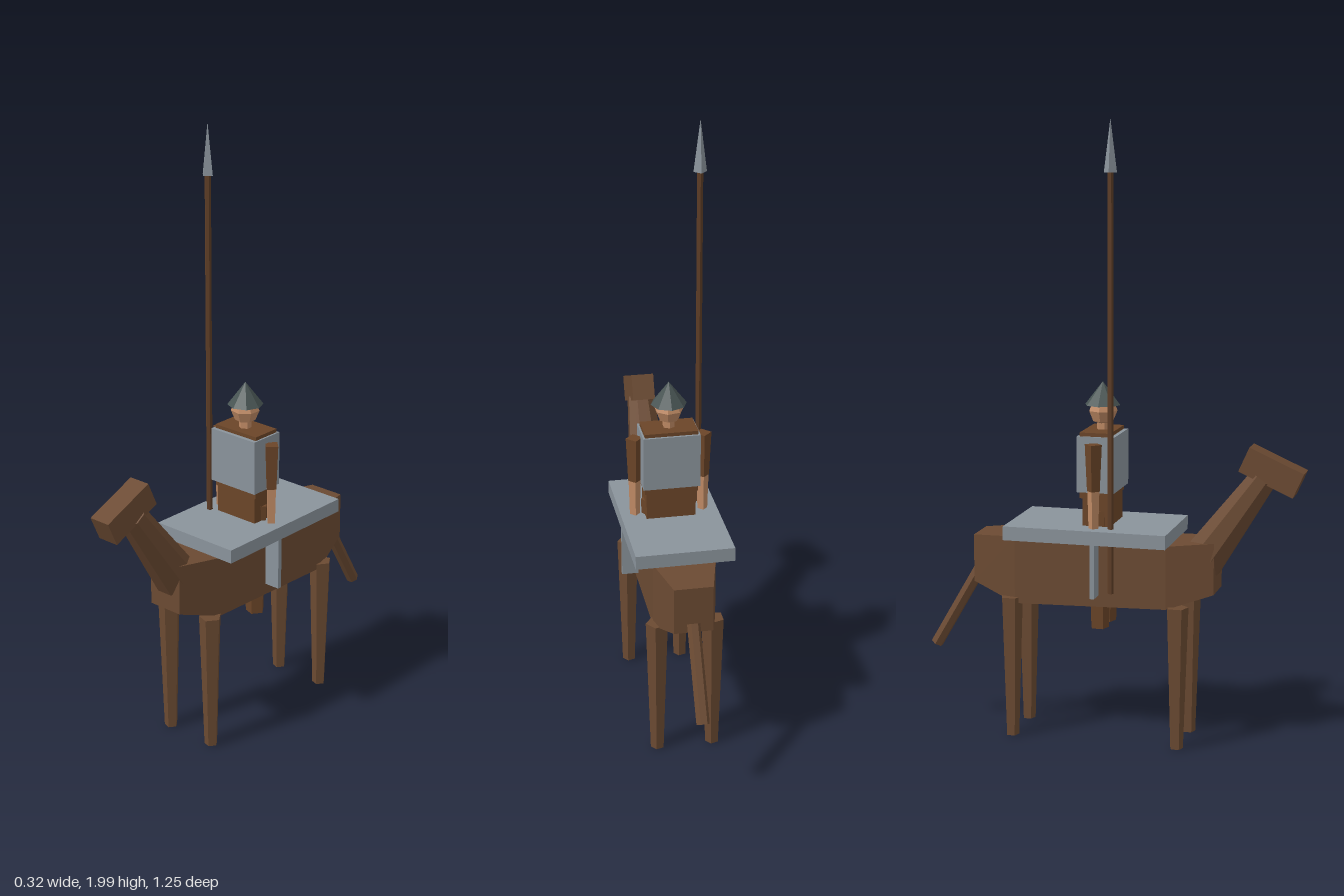
import * as THREE from 'three';

export function createModel() {
  const model = new THREE.Group();
  model.name = 'mountedSpearman';

  const material = (name, color) => {
    const m = new THREE.MeshStandardMaterial({ color, flatShading: true });
    m.name = name;
    return m;
  };
  const hide = material('animal brown', 0x6b4a32);
  const cloth = material('cloth brown', 0x6b4528);
  const wood = material('shaft wood', 0x5e3d26);
  const skin = material('skin', 0xbf8a64);
  const metal = material('grey metal', 0x8a939b);
  const helmetMetal = material('dark helmet', 0x475352);

  const add = (name, geometry, mat, x = 0, y = 0, z = 0) => {
    const mesh = new THREE.Mesh(geometry, mat);
    mesh.name = name;
    mesh.position.set(x, y, z);
    model.add(mesh);
    return mesh;
  };
  // Box given by its lower and upper corners
  const block = (name, mat, [x0, y0, z0], [x1, y1, z1]) =>
    add(name, new THREE.BoxGeometry(x1 - x0, y1 - y0, z1 - z0), mat,
      (x0 + x1) / 2, (y0 + y1) / 2, (z0 + z1) / 2);
  // Tapered rod from point a to point b
  const rod = (name, mat, a, b, ra, rb, sides, turn = 0) => {
    const from = new THREE.Vector3(...a), to = new THREE.Vector3(...b);
    const dir = to.clone().sub(from);
    const geometry = new THREE.CylinderGeometry(rb, ra, dir.length(), sides, 1, false, turn);
    const mid = from.add(to).multiplyScalar(0.5);
    const mesh = add(name, geometry, mat, mid.x, mid.y, mid.z);
    mesh.quaternion.setFromUnitVectors(new THREE.Vector3(0, 1, 0), dir.normalize());
    return mesh;
  };

  // Animal body: a box in three lengths, tapered at both ends
  const sections = [ // z, half width, bottom, top
    [-0.45, 0.062, 0.5, 0.655],
    [-0.3, 0.1, 0.445, 0.665],
    [0.2, 0.1, 0.457, 0.662],
    [0.347, 0.062, 0.505, 0.672],
  ];
  const bodyGeometry = new THREE.BoxGeometry(1, 1, 1, 1, 1, 3);
  const p = bodyGeometry.attributes.position;
  for (let i = 0; i < p.count; i++) {
    const [z, half, low, high] = sections[Math.round((p.getZ(i) + 0.5) * 3)];
    p.setXYZ(i, Math.sign(p.getX(i)) * half, p.getY(i) < 0 ? low : high, z);
  }
  bodyGeometry.computeVertexNormals();
  add('body', bodyGeometry, hide);

  // Neck, head and tail
  rod('neck', hide, [0, 0.6, 0.295], [0, 0.88, 0.492], 0.073, 0.046, 8, Math.PI / 8);
  add('animalHead', new THREE.BoxGeometry(0.075, 0.086, 0.19), hide, 0, 0.903, 0.521)
    .rotation.x = 0.42;
  rod('tail', hide, [0, 0.53, -0.45], [0, 0.263, -0.605], 0.021, 0.021, 6, Math.PI / 6);

  // Four pentagonal legs
  for (const x of [-0.09, 0.09])
    for (const z of [0.235, -0.315])
      rod('animalLeg', hide, [x, 0, z], [x, 0.465, z], 0.022, 0.037, 5, Math.PI / 2);

  // Saddle slab
  block('saddle', metal, [-0.158, 0.665, -0.32], [0.158, 0.71, 0.212]);

  // Rider torso, hips and armour
  block('hips', cloth, [-0.08, 0.7, -0.078], [0.08, 0.83, 0.012]);
  block('torso', cloth, [-0.086, 0.8, -0.085], [0.086, 1.012, 0.015]);
  block('armour', metal, [-0.092, 0.82, -0.093], [0.092, 1.0, 0.028]);

  // Paired parts: saddle flaps, rider's legs and arms
  for (const s of [-1, 1]) {
    add('saddleFlap', new THREE.BoxGeometry(0.055, 0.2, 0.015), metal, s * 0.127, 0.59, -0.027);
    rod('riderLeg', cloth, [s * 0.045, 0.37, -0.032], [s * 0.045, 0.76, -0.032],
      0.031, 0.046, 5, Math.PI / 2);
    rod('upperArm', cloth, [s * 0.111, 0.83, -0.033], [s * 0.111, 0.98, -0.033], 0.021, 0.028, 4);
    rod('forearm', skin, [s * 0.111, 0.7, -0.033], [s * 0.111, 0.84, -0.033], 0.016, 0.02, 4);
  }

  // Rider's neck, head and helmet
  rod('riderNeck', skin, [0, 1.0, -0.032], [0, 1.05, -0.032], 0.02, 0.02, 6);
  add('riderHead', new THREE.SphereGeometry(0.047, 7, 4), skin, 0, 1.072, -0.032);
  add('helmet', new THREE.ConeGeometry(0.058, 0.075, 8), helmetMetal, 0, 1.128, -0.032);

  // Spear
  rod('spearShaft', wood, [-0.107, 0.5, 0.022], [-0.107, 1.835, 0.022], 0.01, 0.01, 6);
  add('spearTip', new THREE.ConeGeometry(0.021, 0.165, 4), metal, -0.107, 1.912, 0.022);

  return model;
}
